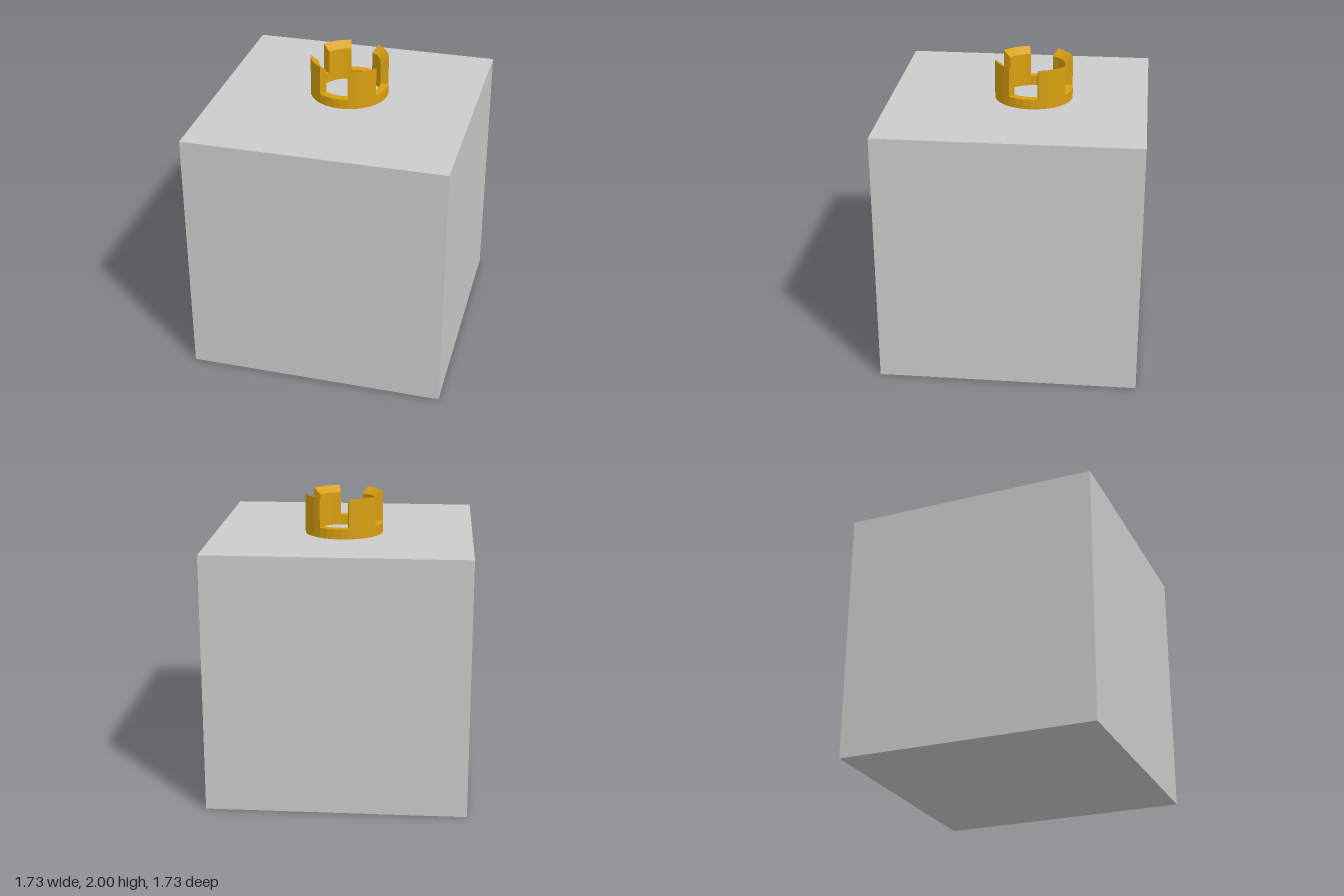
import * as THREE from 'three';

const R_IN = 0.208, R_OUT = 0.263, BASE = 1.733, RIM = 1.8, TOP = 2;
const STEP = Math.PI / 16; // 32-sided ring

export function createModel() {
  const model = new THREE.Group();
  const grey = new THREE.MeshStandardMaterial({ color: 0xcccccc, flatShading: true });
  const gold = new THREE.MeshStandardMaterial({ color: 0xd9a010, flatShading: true });

  const add = (parent, name, geometry, material) => {
    const mesh = new THREE.Mesh(geometry, material);
    mesh.name = name;
    parent.add(mesh);
    return mesh;
  };
  const points = (list) => list.map(([r, y]) => new THREE.Vector2(r, y));

  // Cube body
  add(model, 'body', new THREE.BoxGeometry(1.73, BASE, 1.73), grey).position.y = BASE / 2;

  // Tiny stud on the front face
  add(model, 'frontStud', new THREE.BoxGeometry(0.006, 0.006, 0.006), grey).position.set(0.25, 0.43, 0.865);

  // Crown-like collar, set slightly towards the back
  const collar = new THREE.Group();
  collar.name = 'collar';
  collar.position.z = -0.097;
  model.add(collar);

  const ringProfile = points([[R_IN, BASE], [R_OUT, BASE], [R_OUT, RIM], [R_IN, RIM], [R_IN, BASE]]);
  add(collar, 'collarRing', new THREE.LatheGeometry(ringProfile, 32), gold);

  // Four prongs whose tops slope down towards the centre
  const section = points([[R_IN, RIM], [R_OUT, RIM], [R_OUT, TOP], [R_IN, 1.96]]);
  const arc = 4 * STEP;
  for (let i = 0; i < 4; i++) {
    const prong = new THREE.Group();
    prong.name = 'prong' + (i + 1);
    prong.rotation.y = STEP + i * Math.PI / 2;
    collar.add(prong);
    add(prong, 'prongWall', new THREE.LatheGeometry([...section, section[0]], 4, 0, arc), gold);

    // Flat ends of the prong
    for (const end of [0, arc]) {
      const cap = new THREE.ShapeGeometry(new THREE.Shape(section));
      if (end) {
        cap.index.array.reverse();
        cap.computeVertexNormals();
      }
      cap.rotateY(end - Math.PI / 2);
      add(prong, 'prongEnd', cap, gold);
    }
  }
  return model;
}
